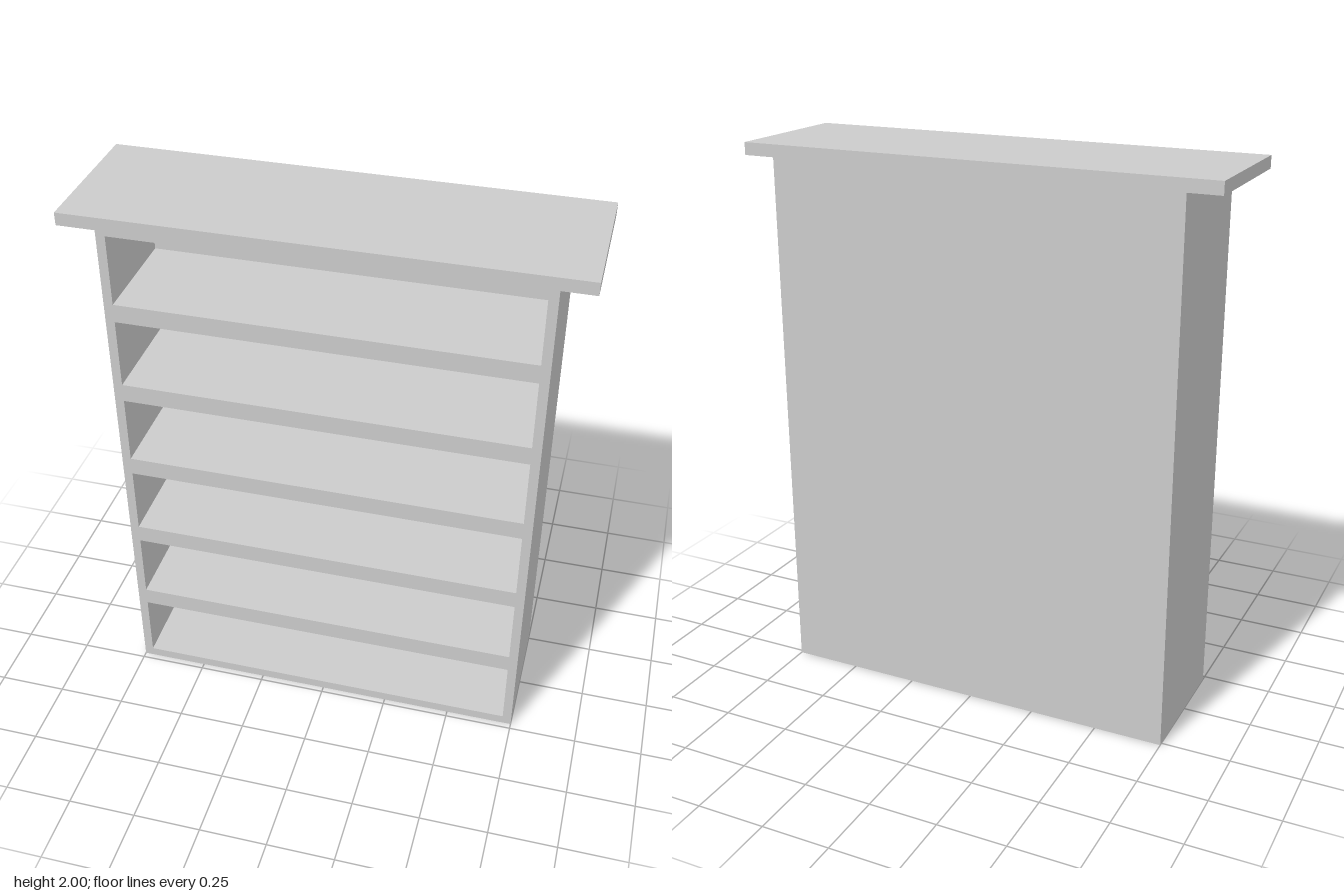
import * as THREE from 'three';

const material = new THREE.MeshStandardMaterial({ color: 0xcccccc, flatShading: true });

const HALF_W = 0.75, BODY_H = 1.955;           // carcass
const BACK = -0.263, INNER = -0.17, FRONT = 0.228; // depth positions
const OPEN_W = 0.717, OPEN_H = 0.257, FIRST = 0.035, PITCH = 0.325, COUNT = 6;

// Draws a closed rectangle on a shape or path
function rectangle(path, x0, y0, x1, y1) {
  path.moveTo(x0, y0);
  path.lineTo(x1, y0);
  path.lineTo(x1, y1);
  path.lineTo(x0, y1);
  path.closePath();
  return path;
}

function add(group, name, geometry, x, y, z) {
  const mesh = new THREE.Mesh(geometry, material);
  mesh.name = name;
  mesh.position.set(x, y, z);
  group.add(mesh);
}

export function createModel() {
  const group = new THREE.Group();
  group.name = 'bookcase';

  // Sides and shelves: one slab with an opening per compartment
  const outline = rectangle(new THREE.Shape(), -HALF_W, 0, HALF_W, BODY_H);
  for (let i = 0; i < COUNT; i++) {
    const y = FIRST + i * PITCH;
    outline.holes.push(rectangle(new THREE.Path(), -OPEN_W, y, OPEN_W, y + OPEN_H));
  }
  const frame = new THREE.ExtrudeGeometry(outline, { depth: FRONT - INNER, bevelEnabled: false });
  add(group, 'shelfFrame', frame, 0, 0, INNER);

  // Back panel closing the compartments
  const back = new THREE.BoxGeometry(HALF_W * 2, BODY_H, INNER - BACK);
  add(group, 'backPanel', back, 0, BODY_H / 2, (INNER + BACK) / 2);

  // Overhanging top board, flush with the back
  const top = new THREE.BoxGeometry(1.734, 2 - BODY_H, -BACK * 2);
  add(group, 'topBoard', top, 0, (2 + BODY_H) / 2, 0);

  return group;
}
